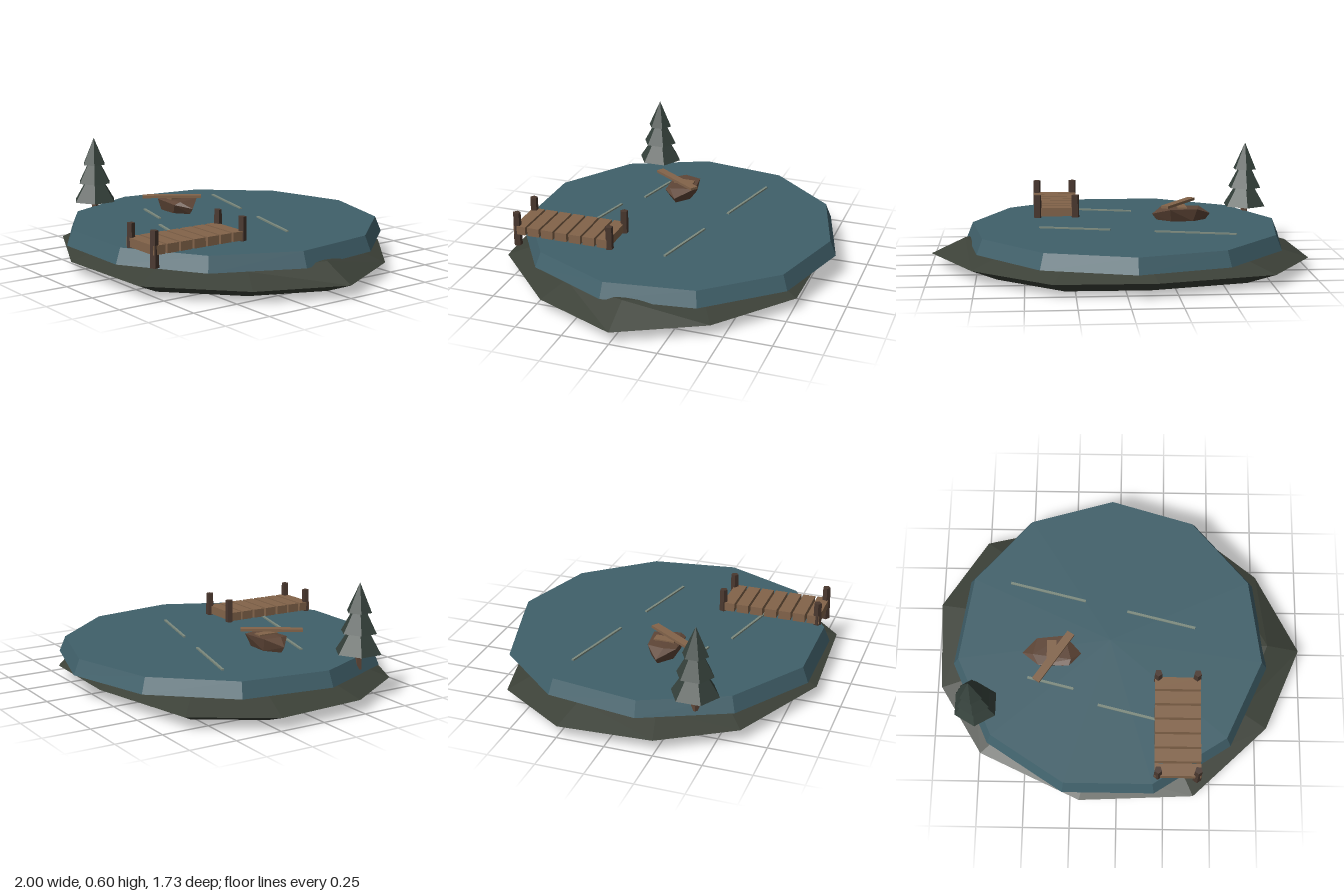
import * as THREE from 'three';
import { ConvexGeometry } from 'three/addons/geometries/ConvexGeometry.js';

const paint = (name, color) => {
  const m = new THREE.MeshStandardMaterial({ color, flatShading: true });
  m.name = name;
  return m;
};

// Faceted version of any geometry
function facet(geo) {
  const g = geo.index ? geo.toNonIndexed() : geo;
  g.computeVertexNormals();
  return g;
}

export function createModel() {
  const earth = paint('dark earth', 0x3c4138);
  const water = paint('pond water', 0x40606a);
  const foliage = paint('pine green', 0x35413b);
  const plankWood = paint('plank wood', 0x83644a);
  const postWood = paint('post wood', 0x4a382f);
  const hullWood = paint('hull wood', 0x5f4637);
  const foam = paint('ripple grey', 0x7c8a7e);

  const model = new THREE.Group();
  model.name = 'pondScene';

  function add(name, geo, mat, x = 0, y = 0, z = 0, parent = model) {
    const mesh = new THREE.Mesh(facet(geo), mat);
    mesh.name = name;
    mesh.position.set(x, y, z);
    parent.add(mesh);
    return mesh;
  }
  function group(name) {
    const g = new THREE.Group();
    g.name = name;
    model.add(g);
    return g;
  }

  // Irregular land slab: one outline scaled into bottom, rim and top rings
  const outline = [
    [1, 0], [0.81, 0.45], [0.41, 0.83], [-0.2, 0.86], [-0.74, 0.61], [-0.97, 0.24],
    [-1, -0.245], [-0.755, -0.63], [-0.15, -0.775], [0.365, -0.765], [0.77, -0.44],
  ];
  const n = outline.length;
  const rings = [
    outline.map(([x, z]) => [x * 0.83, 0, z * 0.83]),
    outline.map(([x, z]) => [x, 0.065, z]),
    outline.map(([x, z], i) => [x * 0.82, i === 0 ? 0.15 : 0.12, z * 0.82]),
  ];
  const tris = [];
  for (let i = 0; i < n; i++) {
    const j = (i + 1) % n;
    for (let r = 0; r < 2; r++) {
      const [a, b, c, d] = [rings[r][i], rings[r][j], rings[r + 1][j], rings[r + 1][i]];
      tris.push(...a, ...c, ...b, ...a, ...d, ...c);
    }
    tris.push(0, 0, 0, ...rings[0][i], ...rings[0][j]);
    tris.push(0, 0.12, 0, ...rings[2][j], ...rings[2][i]);
  }
  const landGeo = new THREE.BufferGeometry();
  landGeo.setAttribute('position', new THREE.Float32BufferAttribute(tris, 3));
  add('land', landGeo, earth);

  // Eleven-sided pond, one corner pointing to the back
  const pond = new THREE.CylinderGeometry(0.835, 0.868, 0.08, 11);
  pond.rotateY(Math.PI);
  add('pond', pond, water, -0.045, 0.17, 0);

  // Ripples: x, z, length
  const ripples = group('ripples');
  for (const [x, z, len] of [
    [-0.393, -0.275, 0.43], [0.233, -0.12, 0.385], [-0.364, 0.254, 0.258], [0.098, 0.423, 0.42],
  ]) {
    const r = add('ripple', new THREE.BoxGeometry(len, 0.008, 0.013), foam, x, 0.214, z, ripples);
    r.rotation.y = -0.24;
  }

  // Jetty with seven planks and four posts
  const jetty = group('jetty');
  for (let i = 0; i < 7; i++) {
    add('jettyPlank', new THREE.BoxGeometry(0.245, 0.047, 0.067), plankWood,
      0.3225, 0.239, 0.26 + i * 0.0792, jetty);
  }
  for (const x of [0.217, 0.427]) {
    for (const z of [0.227, 0.755]) {
      add('jettyPost', new THREE.CylinderGeometry(0.021, 0.024, 0.185, 5), postWood, x, 0.2425, z, jetty);
    }
  }

  // Pine tree of three stacked cones: radius, base height, cone height
  const tree = group('pineTree');
  add('trunk', new THREE.CylinderGeometry(0.018, 0.022, 0.12, 5), hullWood, -0.76, 0.21, 0.385, tree);
  for (const [r, y, h] of [[0.125, 0.24, 0.2], [0.097, 0.345, 0.18], [0.068, 0.45, 0.15]]) {
    add('foliageTier', new THREE.ConeGeometry(r, h, 6), foliage, -0.76, y + h / 2, 0.385, tree);
  }

  // Faceted rowing boat hull
  const boat = group('boat');
  const hullPoints = [
    [-0.16, 0.025, 0], [0.16, 0.025, 0],
    [-0.08, 0.06, -0.072], [0.07, 0.06, -0.09], [0.105, 0.06, 0.045],
    [0.095, 0.045, 0.076], [-0.07, 0.055, 0.078], [-0.1, 0.064, 0.02],
    [-0.135, -0.008, 0], [0.135, -0.008, 0],
    [-0.06, -0.008, -0.06], [0.06, -0.008, -0.06], [-0.06, -0.008, 0.06], [0.06, -0.008, 0.06],
  ].map((p) => new THREE.Vector3(...p));
  add('hull', new ConvexGeometry(hullPoints), hullWood, -0.36, 0.223, 0.095, boat);

  // Seat and the long board laid across the boat
  add('seat', new THREE.BoxGeometry(0.05, 0.014, 0.11), plankWood, -0.36, 0.285, 0.09, boat);
  const board = add('board', new THREE.BoxGeometry(0.325, 0.014, 0.044), plankWood, -0.348, 0.301, 0.132, boat);
  board.rotation.y = 0.98;

  return model;
}
